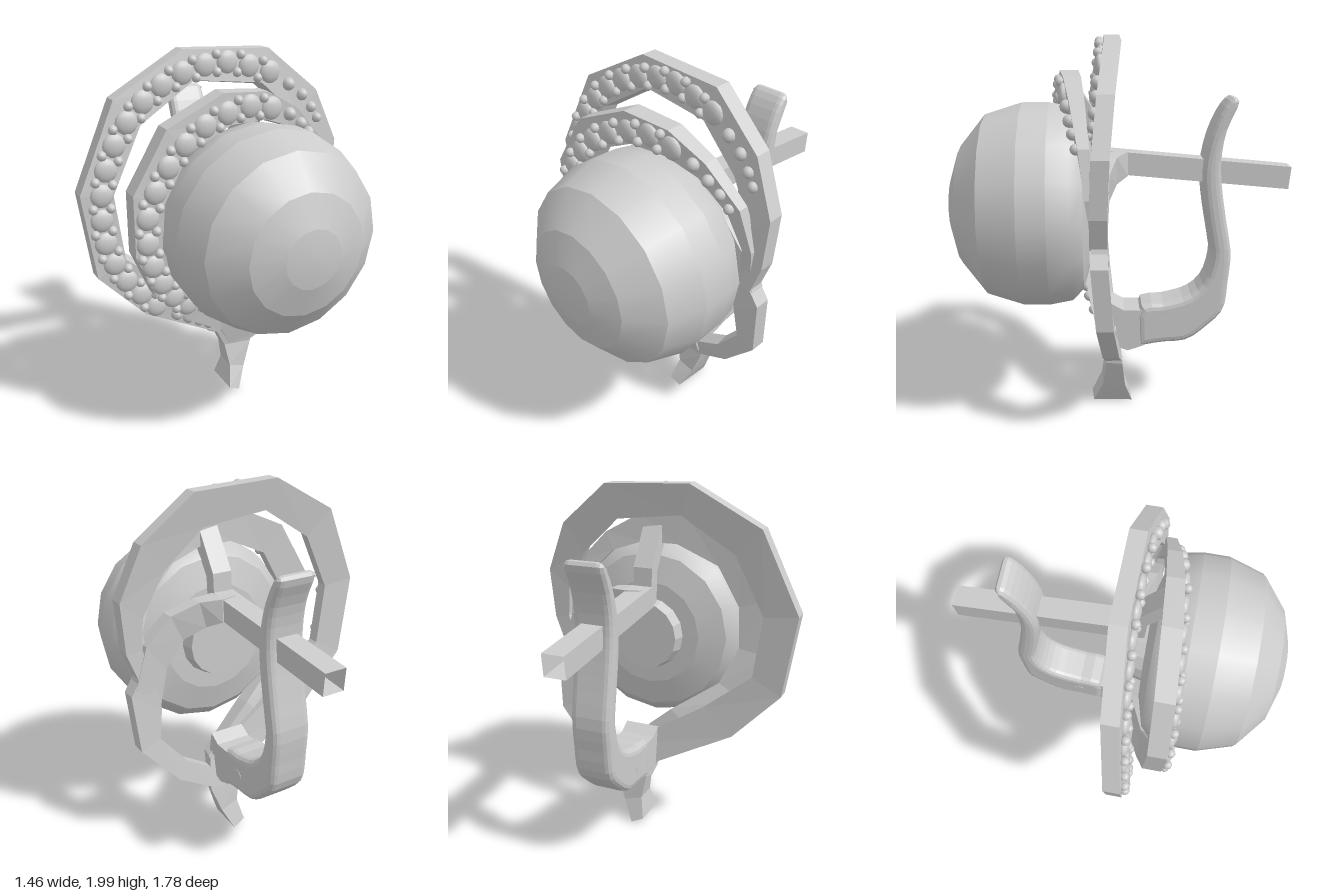
import * as THREE from 'three';
import { mergeGeometries } from 'three/addons/utils/BufferGeometryUtils.js';

const grey = new THREE.MeshStandardMaterial({ color: 0xcccccc });
const flat = new THREE.MeshStandardMaterial({ color: 0xcccccc, flatShading: true });
const open = new THREE.MeshStandardMaterial({ color: 0xcccccc, flatShading: true, side: THREE.DoubleSide });
const CX = 0.145, CY = 1.14; // axis of the pearl

// Front surface of the outer frame, which bows back toward top and bottom
const frameZ = (y) => 0.16 - 0.08 * ((y - 1.15) / 0.85) ** 2;

function add(parent, name, geometry, material = grey) {
  const mesh = new THREE.Mesh(geometry, material);
  mesh.name = name;
  parent.add(mesh);
  return mesh;
}

// Band running clockwise; station = [outerX, outerY, innerX, innerY, zFront, zBack].
// The inner wall leans in a little toward the back.
function band(stations) {
  const pos = [];
  const rings = stations.map(([ox, oy, ix, iy, f, b]) => [
    [ox, oy, f], [ix, iy, f], [ix + 0.1 * (ix - ox), iy + 0.1 * (iy - oy), b], [ox, oy, b]]);
  const quad = (a, b, c, d) => [a, b, c, a, c, d].forEach((p) => pos.push(...p));
  for (let i = 0; i < rings.length - 1; i++) {
    for (let k = 0; k < 4; k++) {
      const n = (k + 1) % 4;
      quad(rings[i][k], rings[i][n], rings[i + 1][n], rings[i + 1][k]);
    }
  }
  const [s, e] = [rings[0], rings[rings.length - 1]];
  quad(s[0], s[3], s[2], s[1]);
  quad(e[0], e[1], e[2], e[3]);
  const g = new THREE.BufferGeometry();
  g.setAttribute('position', new THREE.Float32BufferAttribute(pos, 3));
  g.computeVertexNormals();
  return g;
}

// Side profile of [z, y] points extruded across x, centred on the pearl axis
function sideExtrude(points, width, bevel, smooth) {
  const v = points.map(([z, y]) => new THREE.Vector2(-z, y));
  const shape = new THREE.Shape(smooth ? new THREE.SplineCurve([...v, v[0]]).getPoints(60).slice(0, -1) : v);
  const g = new THREE.ExtrudeGeometry(shape, {
    depth: width - 2 * bevel, bevelEnabled: bevel > 0, bevelSize: bevel,
    bevelThickness: bevel, bevelOffset: -bevel, bevelSegments: 3,
  });
  g.translate(0, 0, -width / 2 + bevel);
  g.rotateY(Math.PI / 2); // shape x becomes -z
  g.translate(CX, 0, 0);
  return g;
}

// Row of flat domed stones with small bead pairs between them, then single beads at both ends
function stoneRow(name, path, count, endBeads) {
  const row = new THREE.Group();
  row.name = name;
  const curve = new THREE.CatmullRomCurve3(path.map((p) => new THREE.Vector3(...p)));
  const stone = new THREE.SphereGeometry(0.06, 12, 8);
  const bead = new THREE.SphereGeometry(0.025, 8, 6);
  const place = (label, geo, p, s, depth) => {
    const m = add(row, label, geo);
    m.position.copy(p);
    m.scale.set(s, s, s * depth);
  };
  for (let i = 0; i < count; i++) {
    place('stone', stone, curve.getPointAt(i / (count - 1)), 1, 0.45);
    if (i === count - 1) break;
    const u = (i + 0.5) / (count - 1);
    const p = curve.getPointAt(u), t = curve.getTangentAt(u);
    const side = new THREE.Vector3(-t.y, t.x, 0).normalize();
    for (const d of [-0.045, 0.045]) {
      place('prongBead', bead, p.clone().addScaledVector(side, d).add(new THREE.Vector3(0, 0, 0.01)), 1, 1);
    }
  }
  for (const list of endBeads) {
    list.forEach((p, i) => place('endBead', bead, new THREE.Vector3(...p), 1.4 - 0.1 * i, 1));
  }
  return row;
}

export function createModel() {
  const root = new THREE.Group();
  root.name = 'earring';

  // Pearl: stacked zones, smooth around the axis with a crease between zones
  const zones = [
    [[0, 0.145], [0.3, 0.15]], [[0.3, 0.15], [0.45, 0.19]], [[0.45, 0.19], [0.51, 0.25], [0.53, 0.36]],
    [[0.53, 0.36], [0.53, 0.5]], [[0.53, 0.5], [0.47, 0.69]], [[0.47, 0.69], [0.31, 0.82]],
    [[0.31, 0.82], [0.15, 0.873]], [[0.15, 0.873], [0.07, 0.885], [0, 0.887]],
  ];
  const pearl = add(root, 'pearl', mergeGeometries(zones.map((zone) =>
    new THREE.LatheGeometry(zone.map(([r, z]) => new THREE.Vector2(r, z)), 16))));
  pearl.rotation.x = Math.PI / 2;
  pearl.position.set(CX, CY, 0);
  const cup = add(root, 'pearlCup', new THREE.CylinderGeometry(0.21, 0.19, 0.08, 16), flat);
  cup.rotation.x = Math.PI / 2;
  cup.position.set(CX, CY, 0.12);

  // Outer frame: stem, large loop, then the lower side loop back to the stem
  const outline = [
    [0.10, 0.04, 0.165, 0.01, 0.13, -0.08],
    [0.125, 0.16, 0.22, 0.13, 0.05, -0.07],
    [0.10, 0.29, 0.27, 0.28], [0.04, 0.40, 0.25, 0.46], [-0.40, 0.63, -0.24, 0.76],
    [-0.66, 0.90, -0.51, 0.98], [-0.73, 1.35, -0.56, 1.33], [-0.53, 1.79, -0.40, 1.66],
    [-0.15, 2.0, -0.10, 1.85], [0.33, 1.98, 0.28, 1.81], [0.61, 1.75, 0.50, 1.61],
    [0.73, 1.47, 0.62, 1.38], [0.71, 1.19, 0.63, 1.20], [0.65, 1.03, 0.57, 1.03],
    [0.70, 0.95, 0.55, 0.85], [0.675, 0.63, 0.57, 0.67], [0.47, 0.40, 0.42, 0.49],
    [0.25, 0.28, 0.23, 0.38],
  ];
  const frame = band(outline.map(([ox, oy, ix, iy, f = 0, b = -0.085]) => [ox, oy, ix, iy, f, b]));
  const p = frame.attributes.position;
  for (let i = 0; i < p.count; i++) p.setZ(i, p.getZ(i) + frameZ(p.getY(i)));
  frame.computeVertexNormals();
  add(root, 'outerFrame', frame, flat);

  // Inner frame: tilted loop close around the pearl
  add(root, 'innerFrame', band([
    [0.13, 0.30, 0.26, 0.32, 0.09, 0.02],
    [0.05, 0.43, 0.25, 0.47, 0.13, 0.04],
    [-0.17, 0.57, -0.03, 0.70, 0.2, 0.09],
    [-0.40, 0.80, -0.28, 0.87, 0.29, 0.19],
    [-0.52, 1.06, -0.38, 1.08, 0.335, 0.235],
    [-0.53, 1.38, -0.37, 1.32, 0.35, 0.25],
    [-0.35, 1.68, -0.24, 1.55, 0.34, 0.24],
    [-0.04, 1.82, 0, 1.66, 0.315, 0.215],
    [0.22, 1.80, 0.21, 1.66, 0.285, 0.195],
    [0.42, 1.69, 0.38, 1.6, 0.25, 0.175],
    [0.60, 1.50, 0.53, 1.45, 0.21, 0.155],
    [0.66, 1.27, 0.6, 1.27, 0.18, 0.12],
    [0.64, 1.08, 0.58, 1.1, 0.15, 0.09],
  ]), flat);

  // Stones set on both frames
  const onFrame = (points) => points.map(([x, y]) => [x, y, frameZ(y)]);
  root.add(stoneRow('outerStones', onFrame([
    [-0.34, 0.67], [-0.51, 0.86], [-0.61, 1.08], [-0.62, 1.34], [-0.54, 1.58],
    [-0.38, 1.77], [-0.16, 1.89], [0.09, 1.925], [0.33, 1.86],
  ]), 17, [onFrame([[-0.22, 0.59], [-0.15, 0.55], [-0.08, 0.51], [-0.02, 0.475]]),
    onFrame([[0.44, 1.79], [0.52, 1.73], [0.575, 1.66], [0.61, 1.6]])]));
  root.add(stoneRow('innerStones', [
    [-0.2, 0.69, 0.225], [-0.31, 0.79, 0.27], [-0.44, 1.03, 0.335], [-0.455, 1.28, 0.35], [-0.33, 1.52, 0.345],
    [-0.13, 1.68, 0.325], [0.1, 1.74, 0.3], [0.24, 1.715, 0.285],
  ], 13, [[[-0.1, 0.645, 0.2], [-0.04, 0.615, 0.185], [0.02, 0.575, 0.17], [0.09, 0.52, 0.145]],
    [[0.36, 1.67, 0.265], [0.44, 1.61, 0.25], [0.5, 1.555, 0.235], [0.545, 1.49, 0.22]]]));

  // Hooked arm from the side loop and an upright strut, both carrying the post
  add(root, 'sideArm', band([
    [0.12, 1.425, 0.12, 1.32, 0.08, -0.02],
    [0.21, 1.425, 0.21, 1.31, 0.08, -0.04],
    [0.31, 1.41, 0.28, 1.28, 0.1, 0.02],
    [0.46, 1.35, 0.40, 1.22, 0.14, 0.06],
    [0.60, 1.21, 0.50, 1.08, 0.155, 0.07],
    [0.67, 0.98, 0.55, 0.86, 0.15, 0.07],
  ]), flat);
  add(root, 'upperStrut', sideExtrude([[0.06, 1.32], [0.13, 1.31], [0.14, 1.5], [0.27, 1.68],
    [0.21, 1.75], [0.07, 1.53]], 0.11, 0), flat);

  // Hollow square post, sloping slightly down toward the back
  const postGeo = new THREE.CylinderGeometry(0.083, 0.083, 0.96, 4, 1, true);
  postGeo.rotateY(Math.PI / 4);
  postGeo.rotateX(Math.PI / 2);
  const post = add(root, 'post', postGeo, open);
  post.position.set(CX, 1.325, -0.405);
  post.rotation.x = -0.094;

  // Lever back with its hinge lug and pin
  add(root, 'lever', sideExtrude([[-0.1, 0.36], [-0.22, 0.38], [-0.36, 0.395], [-0.47, 0.475], [-0.555, 0.57],
    [-0.575, 0.72], [-0.585, 0.88], [-0.555, 1.06], [-0.525, 1.25], [-0.52, 1.4], [-0.545, 1.54], [-0.6, 1.67],
    [-0.565, 1.695], [-0.505, 1.62], [-0.45, 1.48], [-0.425, 1.32], [-0.44, 1.15], [-0.475, 0.95], [-0.485, 0.86],
    [-0.45, 0.73], [-0.37, 0.65], [-0.24, 0.61], [-0.1, 0.58]], 0.22, 0.036, true));
  add(root, 'hingeLug', sideExtrude([[0.08, 0.46], [0.04, 0.37], [-0.04, 0.34], [-0.13, 0.37], [-0.14, 0.57],
    [-0.02, 0.57], [0.05, 0.61]], 0.2, 0), flat);
  const pin = add(root, 'hingePin', new THREE.CylinderGeometry(0.035, 0.035, 0.224, 12));
  pin.rotation.z = Math.PI / 2;
  pin.position.set(CX, 0.49, -0.24);

  return root;
}
